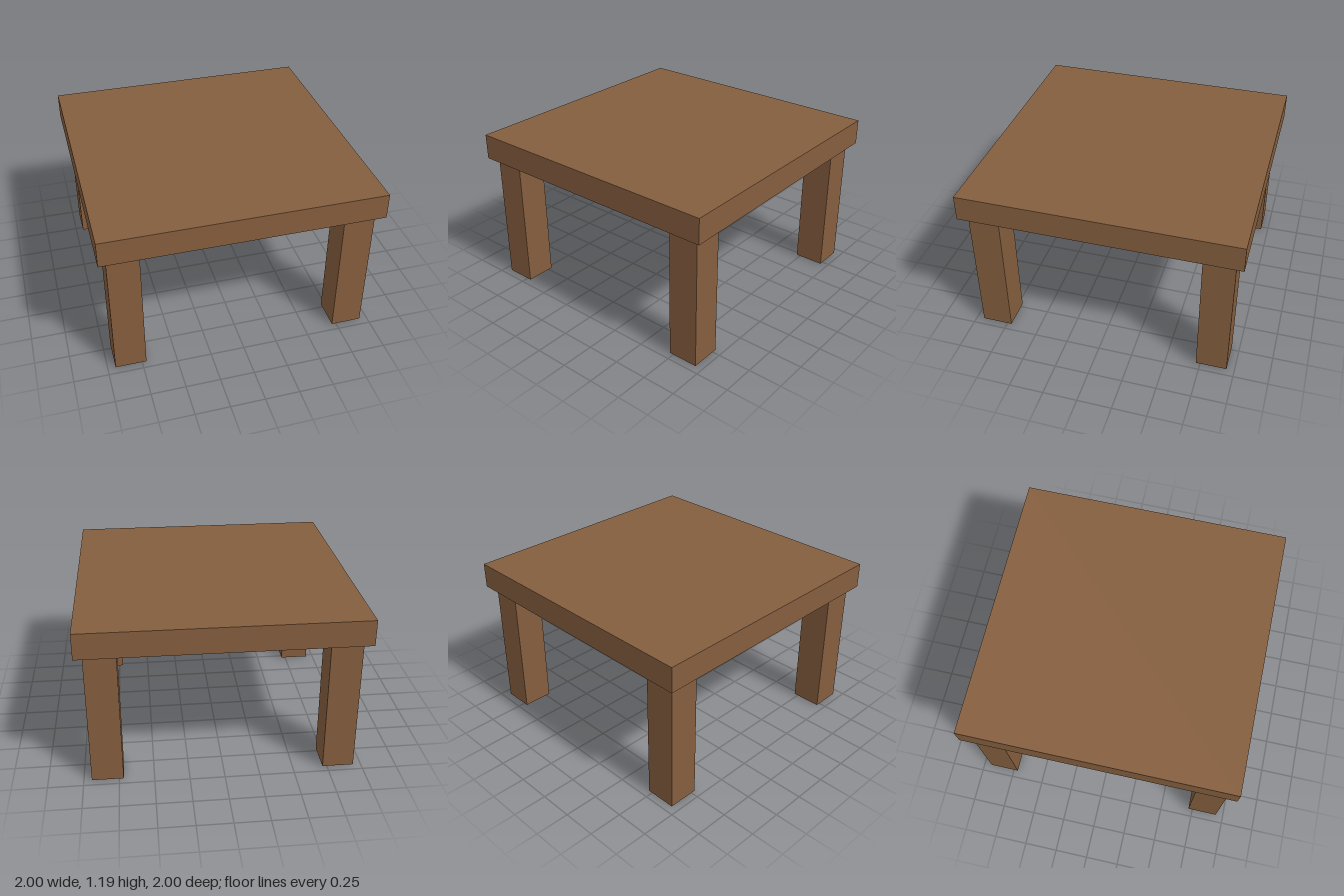
import * as THREE from 'three';

export function createModel() {
  const table = new THREE.Group();
  table.name = 'table';
  const wood = new THREE.MeshStandardMaterial({ color: 0x855e3e });

  const legHeight = 1.0, legWidth = 0.225, legOffset = 0.831, topThickness = 0.188;

  // Square slab top
  const top = new THREE.Mesh(new THREE.BoxGeometry(2, topThickness, 2), wood);
  top.name = 'tableTop';
  top.position.y = legHeight + topThickness / 2;
  table.add(top);

  // Four square legs, set in slightly from the corners
  const legGeometry = new THREE.BoxGeometry(legWidth, legHeight, legWidth);
  for (const [zName, z] of [['front', 1], ['back', -1]]) {
    for (const [xName, x] of [['Left', 1], ['Right', -1]]) {
      const leg = new THREE.Mesh(legGeometry, wood);
      leg.name = `${zName}${xName}Leg`;
      leg.position.set(x * legOffset, legHeight / 2, z * legOffset);
      table.add(leg);
    }
  }
  return table;
}
